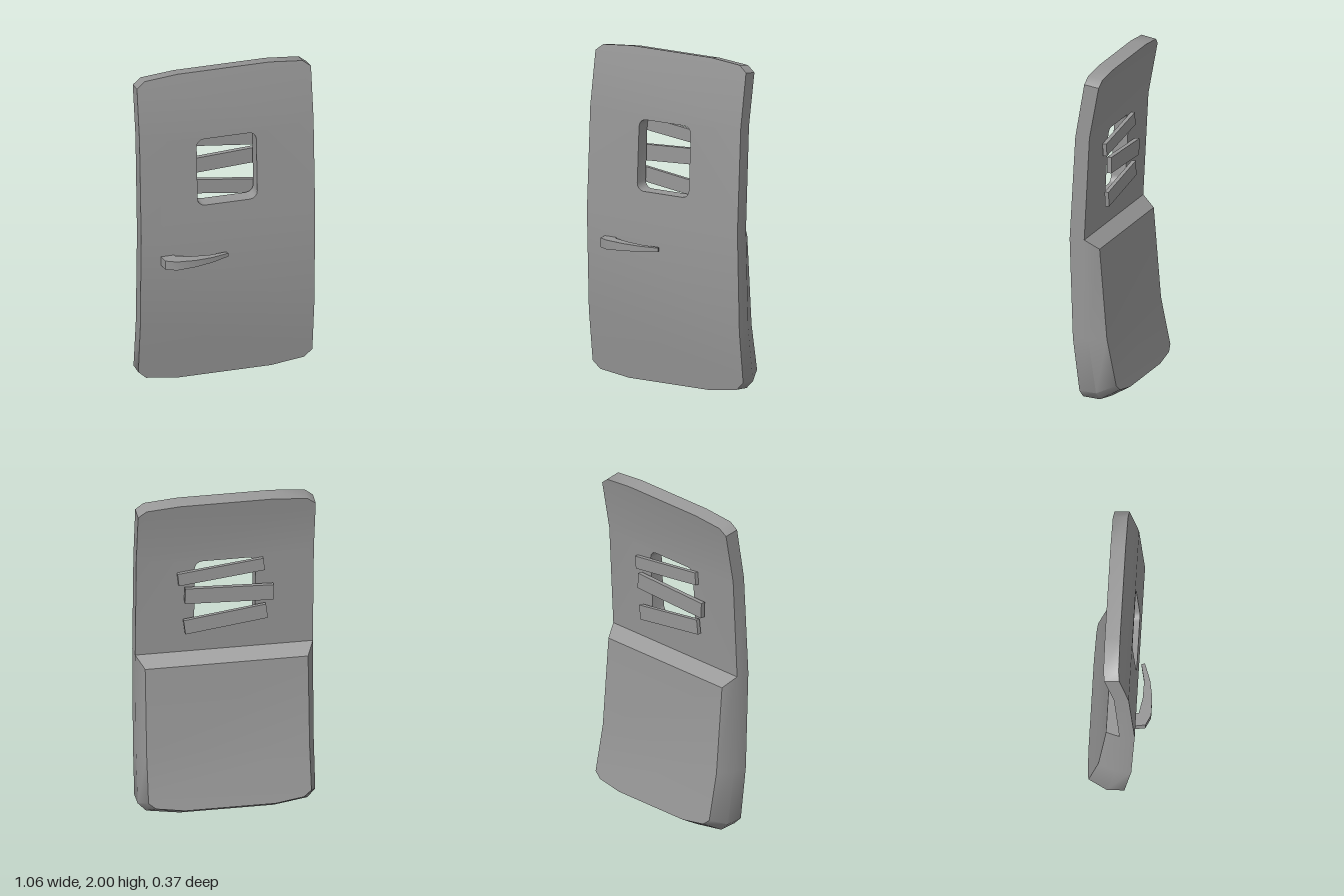
import * as THREE from 'three';
import { toCreasedNormals } from 'three/addons/utils/BufferGeometryUtils.js';

const grey = () => new THREE.MeshStandardMaterial({ color: 0x979797 });

// Bent cross-section of the panel: front y, front z, back y, back z
const ROWS = [
  [0.01, 0.03, 0, -0.075],
  [0.4, 0.08, 0.4, -0.014],
  [1.0, 0.1, 1.0, 0.01],
  [1.62, 0.065, 1.62, -0.022],
  [2.0, 0, 1.982, -0.089],
];
// Rear surface of the thick lower half: y, z
const BULGE = [[0.06, -0.185], [0.4, -0.115], [0.94, -0.07]];

// Linear interpolation of one column by the first column
function lerpRows(rows, y, col) {
  let i = 0;
  while (i < rows.length - 2 && y > rows[i + 1][0]) i++;
  const [a, b] = [rows[i], rows[i + 1]];
  return THREE.MathUtils.lerp(a[col], b[col], (y - a[0]) / (b[0] - a[0]));
}
const front = (p) => new THREE.Vector3(p.x, p.y, lerpRows(ROWS, p.y, 1));
const back = (p) => new THREE.Vector3(p.x, lerpRows(ROWS, p.y, 2), lerpRows(ROWS, p.y, 3));
const rear = (p) => new THREE.Vector3(p.x, p.y, lerpRows(BULGE, p.y, 1));

// Mirrors a right-hand half outline into a closed counter-clockwise loop
function mirrorLoop(half) {
  const right = half.map(([x, y]) => new THREE.Vector2(x, y));
  const left = right.map((p) => new THREE.Vector2(-p.x, p.y)).reverse();
  return [...right, ...left];
}
const between = (loop, lo, hi) => loop.filter((p) => p.y >= lo - 1e-6 && p.y <= hi + 1e-6);

function roundedWindow(x0, x1, y0, y1, r) {
  const pts = [];
  const corners = [[x1 - r, y1 - r], [x0 + r, y1 - r], [x0 + r, y0 + r], [x1 - r, y0 + r]];
  corners.forEach(([cx, cy], c) => {
    for (let k = 0; k <= 4; k++) {
      const a = (c + k / 4) * Math.PI / 2;
      pts.push(new THREE.Vector2(cx + r * Math.cos(a), cy + r * Math.sin(a)));
    }
  });
  return pts.reverse();
}

function panelGeometry() {
  const tris = [];
  // Flat outline filled and bent by a mapping
  const face = (loop, hole, map, flip) => {
    const pts = [...loop, ...hole].map(map);
    for (const [a, b, c] of THREE.ShapeUtils.triangulateShape(loop, hole.length ? [hole] : [])) {
      tris.push(pts[a], pts[flip ? c : b], pts[flip ? b : c]);
    }
  };
  // Band of quads between two matching closed loops
  const wall = (A, B) => A.forEach((a, i) => {
    const j = (i + 1) % A.length;
    tris.push(a, B[i], B[j], a, B[j], A[j]);
  });

  const outline = mirrorLoop([
    [0.28, 0.01], [0.48, 0.038], [0.529, 0.085], [0.529, 0.4], [0.529, 1.0],
    [0.529, 1.62], [0.529, 1.943], [0.48, 1.982], [0.28, 2.0],
  ]);
  const inset = mirrorLoop([[0.27, 0.06], [0.44, 0.085], [0.485, 0.12], [0.485, 0.4], [0.485, 0.94]]);
  const hole = roundedWindow(-0.183, 0.18, 1.16, 1.585, 0.045);

  // Front and upper back, one strip per bend, the window in the third
  for (let i = 0; i < 4; i++) {
    const strip = between(outline, ROWS[i][0], ROWS[i + 1][0]);
    const cut = i === 2 ? hole : [];
    face(strip, cut, front, false);
    if (i >= 2) face(strip, cut, back, true);
  }
  // Outer rim and window reveal
  wall(outline.map(front), outline.map(back));
  wall(hole.map(front), hole.map(back));
  // Thick lower half: bevel, ledge and rear surface
  wall(between(outline, 0, 1).map(back), inset.map(rear));
  face(between(inset, 0, 0.4), [], rear, true);
  face(between(inset, 0.4, 1), [], rear, true);

  return toCreasedNormals(new THREE.BufferGeometry().setFromPoints(tris), 0.835);
}

// Curved lever, tapering in height towards its tip
function handleGeometry() {
  const profile = [
    [-0.408, 0.085], [-0.325, 0.085], [-0.325, 0.112], [-0.23, 0.13], [-0.12, 0.132], [-0.016, 0.11],
    [-0.008, 0.13], [-0.115, 0.167], [-0.22, 0.185], [-0.335, 0.185], [-0.397, 0.155],
  ].map(([x, z]) => new THREE.Vector2(x, z));
  const geo = new THREE.ExtrudeGeometry(new THREE.Shape(profile), { depth: 2, bevelEnabled: false });
  geo.translate(0, 0, -1).rotateX(Math.PI / 2);
  const pos = geo.attributes.position;
  for (let i = 0; i < pos.count; i++) {
    const t = THREE.MathUtils.clamp((pos.getX(i) + 0.33) / 0.32, 0, 1);
    pos.setY(i, 0.832 + pos.getY(i) * THREE.MathUtils.lerp(0.028, 0.011, t));
  }
  return toCreasedNormals(geo, 0.5);
}

export function createModel() {
  const model = new THREE.Group();
  model.name = 'barredDoor';
  const add = (name, geometry) => {
    const mesh = new THREE.Mesh(geometry, grey());
    mesh.name = name;
    model.add(mesh);
    return mesh;
  };

  add('doorPanel', panelGeometry());
  add('doorHandle', handleGeometry());

  // Crooked planks nailed behind the window: x, y, z, length, height, depth, roll, yaw
  const planks = [
    ['upperPlank', 0.027, 1.515, -0.032, 0.515, 0.077, 0.024, -0.115, 0],
    ['middlePlank', -0.02, 1.373, -0.041, 0.53, 0.096, 0.028, 0.045, 0.02],
    ['lowerPlank', 0, 1.209, -0.032, 0.495, 0.09, 0.024, -0.13, 0],
  ];
  for (const [name, x, y, z, length, height, depth, roll, yaw] of planks) {
    const plank = add(name, new THREE.BoxGeometry(length, height, depth));
    plank.position.set(x, y, z);
    plank.rotation.set(0, yaw, roll);
  }
  return model;
}
